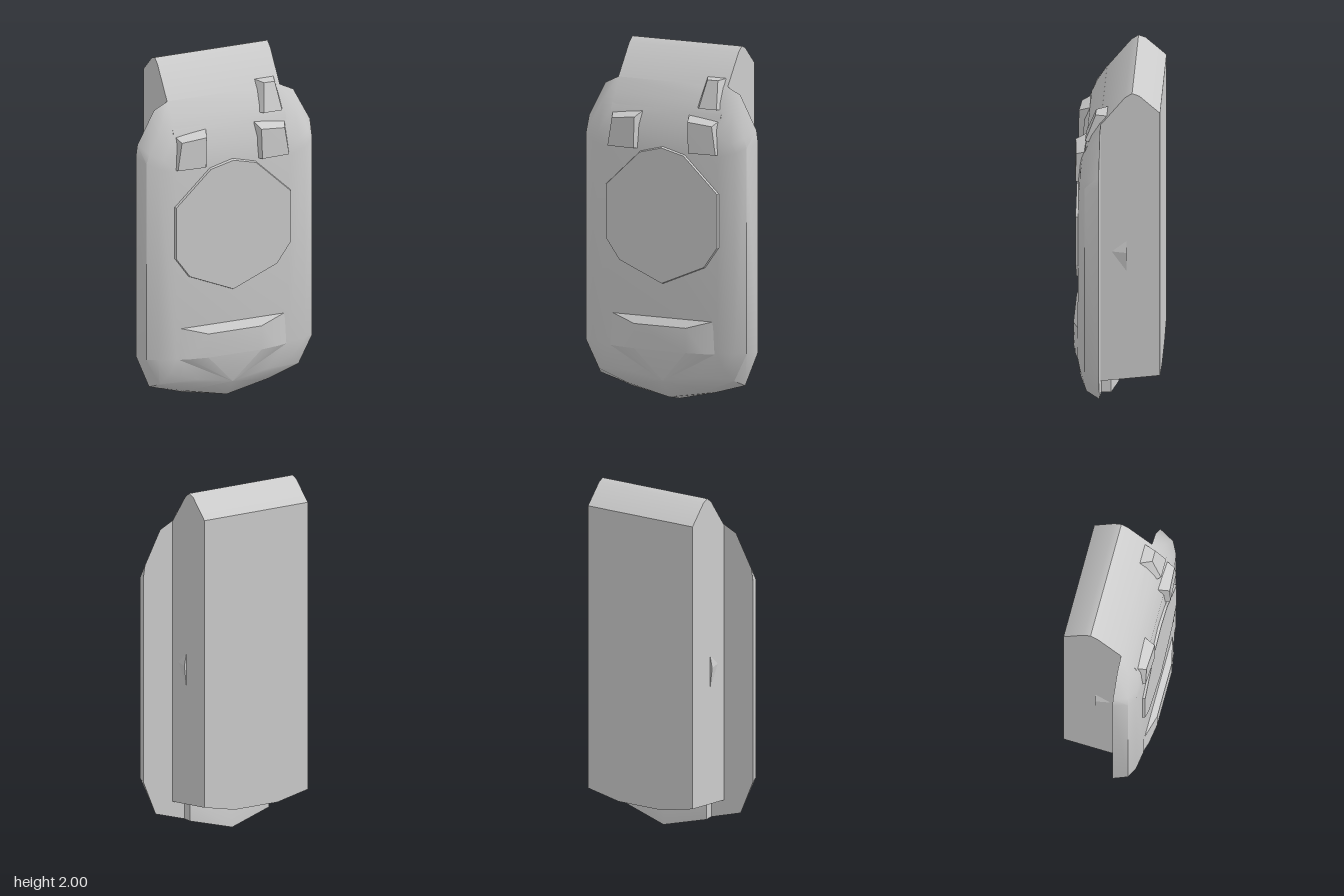
import * as THREE from 'three';
import { toCreasedNormals } from 'three/addons/utils/BufferGeometryUtils.js';
import { ConvexGeometry } from 'three/addons/geometries/ConvexGeometry.js';

const material = new THREE.MeshStandardMaterial({ color: 0xcccccc });

// Adds both sides of a list of right-hand points
const mirror = (pts) => pts.flatMap(([x, y, z]) => (x === 0 ? [[x, y, z]] : [[x, y, z], [-x, y, z]]));

// Faceted solid spanning the given corner points
function solid(name, pts, crease = 0.3) {
  const hull = new ConvexGeometry(pts.map((p) => new THREE.Vector3(...p)));
  const mesh = new THREE.Mesh(toCreasedNormals(hull, crease), material);
  mesh.name = name;
  return mesh;
}

export function createModel() {
  const group = new THREE.Group();
  group.name = 'model';

  // Rear body: side profile as [z, y], with a bowed underside
  const profile = [
    [-0.245, 0.225], [-0.245, 1.88], [-0.13, 1.985], [-0.09, 2], [-0.05, 1.972],
    [0.09, 1.79], [0.17, 1.64], [0.195, 1.5], [0.195, 0.5], [0.09, 0.18],
  ];
  const bodyPoints = mirror(profile.map(([z, y]) => [0.34, y, z]));
  bodyPoints.push(...mirror([[0.14, 0.182, -0.245], [0.14, 0.138, 0.08]]));
  group.add(solid('rearBody', bodyPoints, 0.6));

  // Front shell: rings from the rim at the back to the flat front
  const shell = [
    // rim
    [0.34, 1.8, 0.085], [0.42, 1.76, 0.085], [0.52, 1.57, 0.085], [0.53, 1.5, 0.085],
    [0.53, 0.32, 0.085], [0.45, 0.125, 0.085], [0.26, 0.068, 0.085],
    // rounded side
    [0.33, 1.72, 0.135], [0.4, 1.68, 0.145], [0.48, 1.53, 0.16], [0.5, 1.48, 0.165],
    [0.5, 0.32, 0.165], [0.42, 0.16, 0.16], [0.25, 0.09, 0.14], [0, 0.03, 0.13],
    // shoulder
    [0.36, 1.59, 0.185], [0.41, 1.5, 0.195], [0.44, 1.45, 0.197],
    [0.44, 0.32, 0.197], [0.37, 0.23, 0.195], [0.2, 0.17, 0.2], [0, 0.135, 0.21],
    // front
    [0.28, 1.56, 0.2], [0.34, 1.42, 0.21], [0.34, 0.32, 0.212],
  ];
  group.add(solid('frontShell', mirror(shell), 0.6));

  // Pointed lip under the body
  group.add(solid('bottomLip', mirror([
    [0.26, 0.068, 0.09], [0.26, 0.068, 0.03], [0.26, 0.19, 0.09], [0.26, 0.19, 0.03],
    [0, 0, 0], [0, 0.03, 0.13], [0, 0.15, 0.02],
  ])));

  // Chin with a slanted ledge on top
  group.add(solid('chin', mirror([
    [0.325, 0.497, 0.208], [0.16, 0.45, 0.245], [0.16, 0.31, 0.245],
    [0.27, 0.31, 0.228], [0.33, 0.31, 0.21], [0, 0.135, 0.211], [0, 0.4, 0.18],
  ])));

  // Ten-sided plate with a thin bevelled edge
  const outline = mirror([
    [0, 1.46], [0.14, 1.425], [0.355, 1.22], [0.355, 0.91], [0.27, 0.79], [0, 0.675],
  ]);
  const platePoints = outline.flatMap(([x, y]) => [
    [x, y, 0.19],
    [x * 0.972, 1.07 + (y - 1.07) * 0.972, 0.224],
  ]);
  group.add(solid('frontPlate', platePoints));

  // Pair of raised blocks above the plate
  for (const side of [-1, 1]) {
    const block = [
      [0.35, 1.43, 0.17], [0.14, 1.43, 0.17], [0.14, 1.645, 0.155], [0.335, 1.625, 0.155],
      [0.335, 1.435, 0.225], [0.17, 1.435, 0.235], [0.165, 1.61, 0.232], [0.31, 1.595, 0.222],
    ];
    group.add(solid(side > 0 ? 'leftBlock' : 'rightBlock', block.map(([x, y, z]) => [side * x, y, z])));
  }

  // Tapered horn on the left shoulder
  group.add(solid('horn', [
    [0.2, 1.84, 0.05], [0.315, 1.84, 0.05], [0.23, 1.835, 0.115], [0.295, 1.835, 0.115],
    [0.18, 1.68, 0.14], [0.33, 1.68, 0.14], [0.205, 1.68, 0.172], [0.315, 1.68, 0.172],
    [0.18, 1.68, 0.05], [0.33, 1.68, 0.05],
  ]));

  // Small wedges on both flanks
  for (const side of [-1, 1]) {
    group.add(solid(side > 0 ? 'leftWedge' : 'rightWedge', [
      [0.354, 1.0, -0.06], [0.338, 1.08, -0.06], [0.338, 0.86, -0.06], [0.338, 1.0, 0.035], [0.32, 1.0, -0.05],
    ].map(([x, y, z]) => [side * x, y, z])));
  }

  return group;
}
